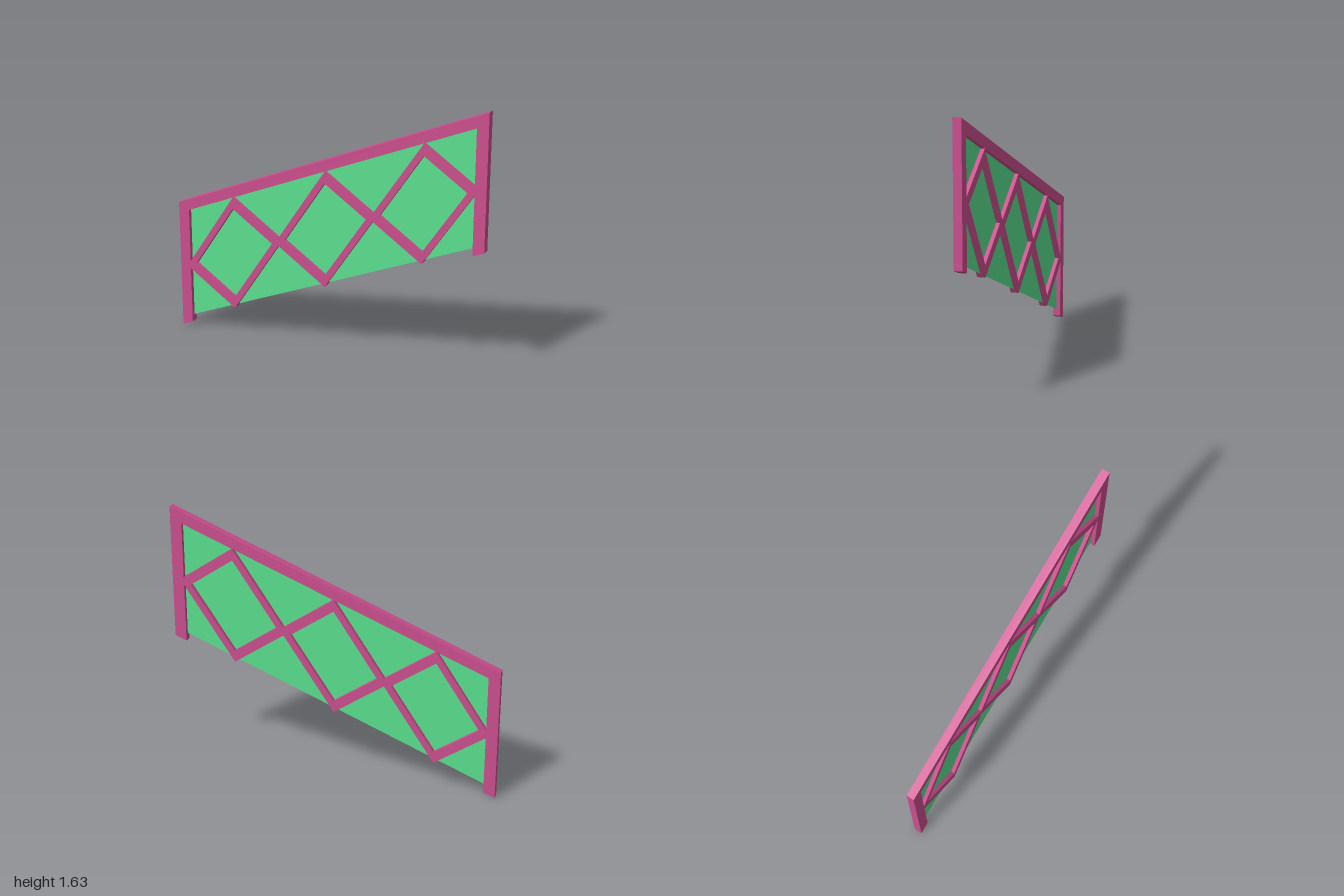
import * as THREE from 'three';

const SLOPE = 0.407, HEIGHT = 0.82, FRAME = 0.07;

export function createModel() {
  const pink = new THREE.MeshStandardMaterial({ color: 0xcc4f8e });
  pink.name = 'pink frame';
  const green = new THREE.MeshStandardMaterial({ color: 0x5ae08f, side: THREE.DoubleSide });
  green.name = 'green panel';

  const group = new THREE.Group();
  group.name = 'slopedRailing';

  // Points are laid out on a level railing, then raised along the slope.
  const raise = (pts) => pts.map(([x, y]) => new THREE.Vector2(x, y + SLOPE * (x + 1)));

  function addBar(name, outline, depth, hole) {
    const shape = new THREE.Shape(raise(outline));
    if (hole) shape.holes.push(new THREE.Path(raise(hole)));
    const geometry = new THREE.ExtrudeGeometry(shape, { depth, bevelEnabled: false });
    geometry.translate(0, 0, -depth / 2);
    const mesh = new THREE.Mesh(geometry, pink);
    mesh.name = name;
    group.add(mesh);
  }

  // End posts and handrail, mitred at the corners
  const inner = 1 - FRAME, under = HEIGHT - FRAME;
  addBar('rightPost', [[-1, 0], [-inner, 0], [-inner, under], [-1, HEIGHT]], 0.05);
  addBar('leftPost', [[inner, 0], [1, 0], [1, HEIGHT], [inner, under]], 0.05);
  addBar('handrail', [[-inner, under], [inner, under], [1, HEIGHT], [-1, HEIGHT]], 0.05);

  // Lattice of three overlapping diamonds
  const diamond = (cx, w, h) => [[cx - w, 0.387], [cx, 0.387 - h], [cx + w, 0.387], [cx, 0.387 + h]];
  [-0.62, 0, 0.62].forEach((cx, i) => {
    addBar(`latticeDiamond${i + 1}`, diamond(cx, 0.333, 0.362), 0.048, diamond(cx, 0.267, 0.29));
  });

  // Thin infill panel
  const panelShape = new THREE.Shape(raise([[-inner, 0.043], [inner, 0.043], [inner, under], [-inner, under]]));
  const panel = new THREE.Mesh(new THREE.ShapeGeometry(panelShape), green);
  panel.name = 'infillPanel';
  group.add(panel);

  return group;
}
